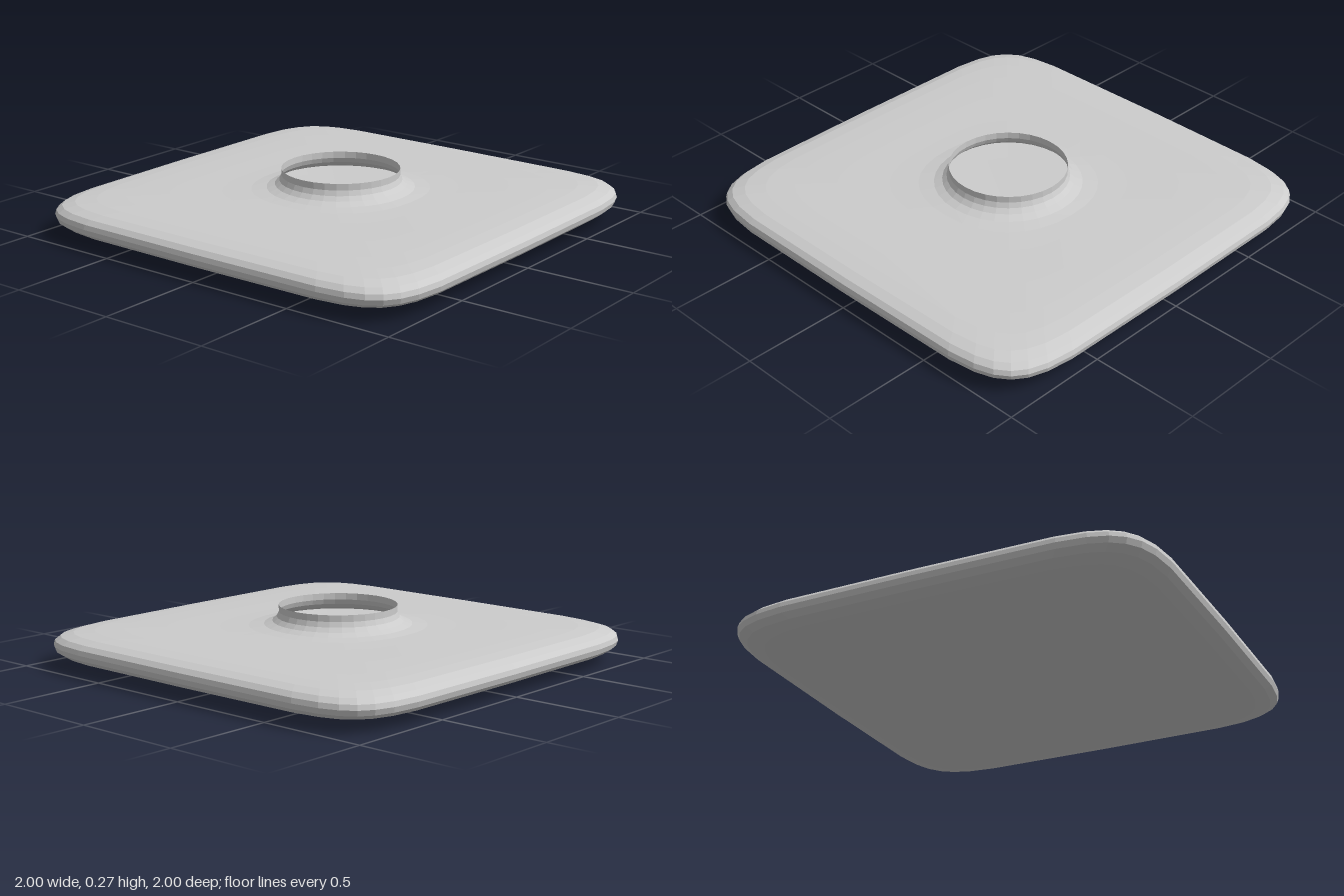
import * as THREE from 'three';

const SEGMENTS = 32;

// Cross-sections from the collar rim, out over the plate edge, to the centre of
// the underside: [half-size, height, superellipse exponent (2 = circle)]
const SECTIONS = [
  [0.27, 0.27, 2], [0.27, 0.24, 2], [0.28, 0.217, 2], [0.3, 0.198, 2],
  [0.335, 0.184, 2.05], [0.39, 0.177, 2.3], [0.48, 0.174, 3], [0.64, 0.172, 4.5],
  [0.77, 0.169, 6], [0.86, 0.165, 7], [0.93, 0.157, 7.35], [0.975, 0.142, 7.35],
  [0.995, 0.122, 7.35], [1, 0.1, 7.35], [0.992, 0.075, 7.35], [0.965, 0.053, 7.2],
  [0.91, 0.037, 6.8], [0.82, 0.025, 6], [0.65, 0.014, 5], [0.4, 0.005, 4],
];

// Joins the sections into one skin, closed underneath and open at the collar
function loft(sections) {
  const positions = [];
  const indices = [];
  const root = (v, n) => Math.sign(v) * Math.pow(Math.abs(v), 2 / n);
  for (const [size, y, n] of sections) {
    for (let j = 0; j < SEGMENTS; j++) {
      const t = (j / SEGMENTS) * Math.PI * 2;
      const c = j % 16 === 8 ? 0 : Math.cos(t);
      const s = j % 16 === 0 ? 0 : Math.sin(t);
      positions.push(size * root(c, n), y, size * root(s, n));
    }
  }
  const centre = positions.length / 3;
  positions.push(0, 0, 0);
  for (let i = 0; i < sections.length; i++) {
    for (let j = 0; j < SEGMENTS; j++) {
      const a = i * SEGMENTS + j;
      const b = i * SEGMENTS + ((j + 1) % SEGMENTS);
      if (i === sections.length - 1) indices.push(a, b, centre);
      else indices.push(a, b, a + SEGMENTS, b, b + SEGMENTS, a + SEGMENTS);
    }
  }
  const geometry = new THREE.BufferGeometry();
  geometry.setAttribute('position', new THREE.Float32BufferAttribute(positions, 3));
  geometry.setIndex(indices);
  geometry.computeVertexNormals();
  return geometry;
}

export function createModel() {
  const group = new THREE.Group();
  group.name = 'flatVessel';
  const material = new THREE.MeshStandardMaterial({
    color: 0xcccccc, flatShading: true, side: THREE.DoubleSide,
  });
  // Hollow rounded-square body flowing up into a round open collar
  const body = new THREE.Mesh(loft(SECTIONS), material);
  body.name = 'bodyWithCollar';
  group.add(body);
  return group;
}
